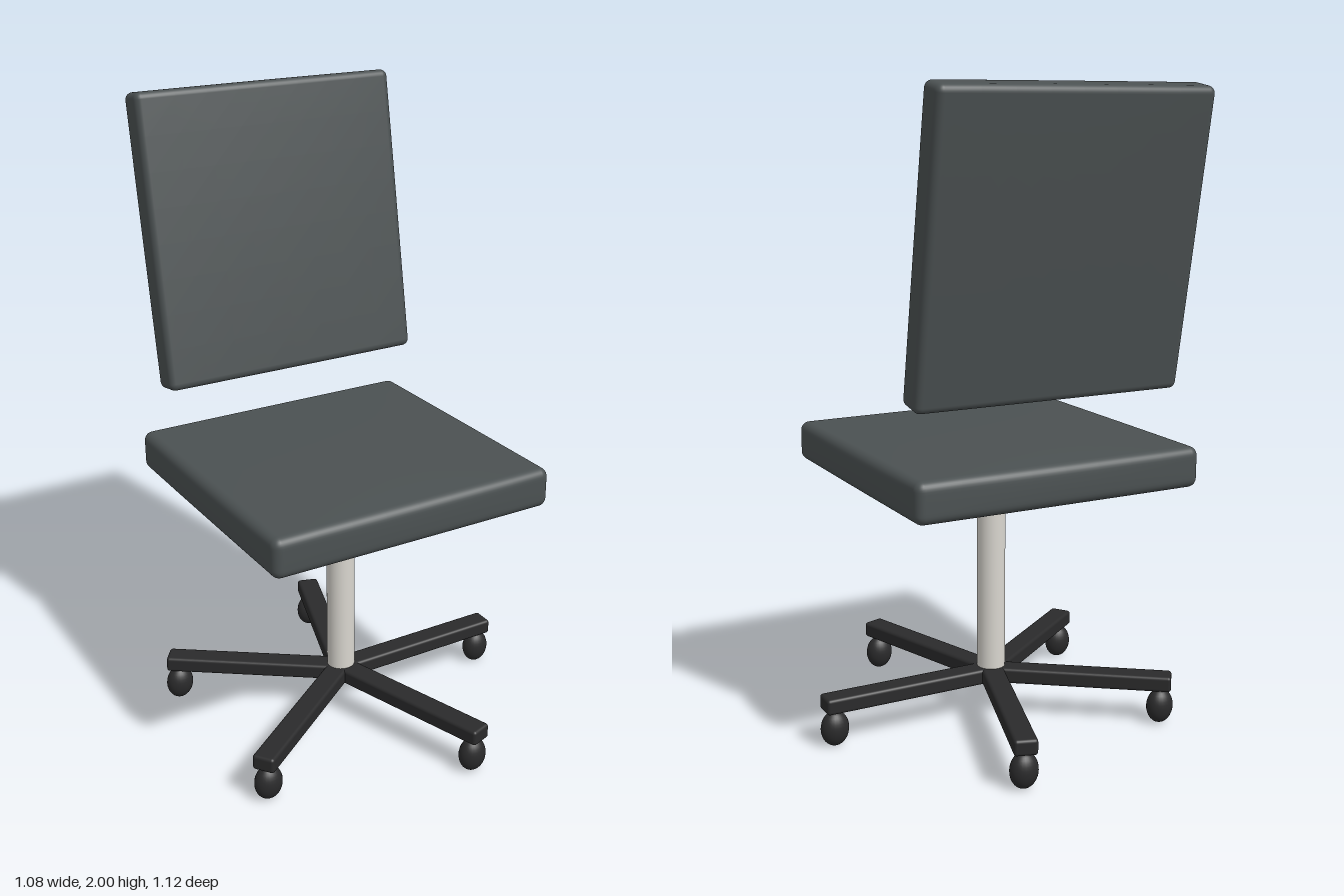
import * as THREE from 'three';
import { mergeVertices } from 'three/addons/utils/BufferGeometryUtils.js';
import { RoundedBoxGeometry } from 'three/addons/geometries/RoundedBoxGeometry.js';

// Padded block: rounded edges with a slight swell on the large faces
function cushionGeometry(w, h, d, r, swell) {
  let geo = new THREE.BoxGeometry(2, 2, 2, 16, 16, 16);
  geo.deleteAttribute('uv');
  geo.deleteAttribute('normal');
  geo = mergeVertices(geo);
  const pos = geo.attributes.position;
  const inner = new THREE.Vector3(), offset = new THREE.Vector3();
  const half = [w / 2 - r, h / 2 - r, d / 2 - r];
  for (let i = 0; i < pos.count; i++) {
    for (let a = 0; a < 3; a++) {
      // the inner half of the grid spans the flat, the outer half the rounding
      const u = pos.getComponent(i, a);
      inner.setComponent(a, THREE.MathUtils.clamp(u * 2, -1, 1) * half[a]);
      offset.setComponent(a, Math.sign(u) * Math.max(0, Math.abs(u) - 0.5) * 2);
    }
    const p = inner.add(offset.normalize().multiplyScalar(r));
    const fx = 1 - (2 * p.x / w) ** 2, fy = 1 - (2 * p.y / h) ** 2, fz = 1 - (2 * p.z / d) ** 2;
    pos.setXYZ(i,
      p.x + swell * 0.5 * (2 * p.x / w) * fz * fy,
      p.y + swell * (2 * p.y / h) * fx * fz,
      p.z + swell * 0.5 * (2 * p.z / d) * fx * fy);
  }
  geo.computeVertexNormals();
  return geo;
}

export function createModel() {
  const upholstery = new THREE.MeshStandardMaterial({ name: 'grey upholstery', color: 0x4b5152 });
  const metal = new THREE.MeshStandardMaterial({ name: 'pale metal', color: 0xd9d6cf });
  const plastic = new THREE.MeshStandardMaterial({ name: 'black plastic', color: 0x2a2a2b });

  const chair = new THREE.Group();
  chair.name = 'officeChair';
  chair.position.x = -0.055; // the long arm reaches +x, so the column sits off centre

  const add = (parent, name, geo, mat, x, y, z) => {
    const mesh = new THREE.Mesh(geo, mat);
    mesh.name = name;
    mesh.position.set(x, y, z);
    parent.add(mesh);
    return mesh;
  };

  // Seat and leaning back
  add(chair, 'seat', cushionGeometry(0.94, 0.126, 0.905, 0.028, 0.007), upholstery, 0, 0.869, 0);
  const back = add(chair, 'backrest', cushionGeometry(0.87, 0.1, 0.9, 0.022, 0.002), upholstery, 0, 1.55, -0.4);
  back.rotation.x = Math.PI / 2 - THREE.MathUtils.degToRad(10);

  // Column
  add(chair, 'column', new THREE.CylinderGeometry(0.045, 0.045, 0.68, 32), metal, 0, 0.48, 0);

  // Five-arm base with a caster under each arm
  const base = new THREE.Group();
  base.name = 'base';
  chair.add(base);
  const armGeo = new RoundedBoxGeometry(0.58, 0.05, 0.072, 3, 0.01).translate(0.29, 0, 0);
  const casterGeo = new THREE.SphereGeometry(1, 24, 16).scale(0.045, 0.056, 0.036);
  for (let i = 0; i < 5; i++) {
    const a = i * Math.PI * 2 / 5;
    add(base, 'arm', armGeo, plastic, 0, 0.14, 0).rotation.y = -a;
    add(base, 'caster', casterGeo, plastic, 0.545 * Math.cos(a), 0.056 + 0.002, 0.545 * Math.sin(a));
  }

  const model = new THREE.Group();
  model.name = 'model';
  model.add(chair);
  return model;
}
